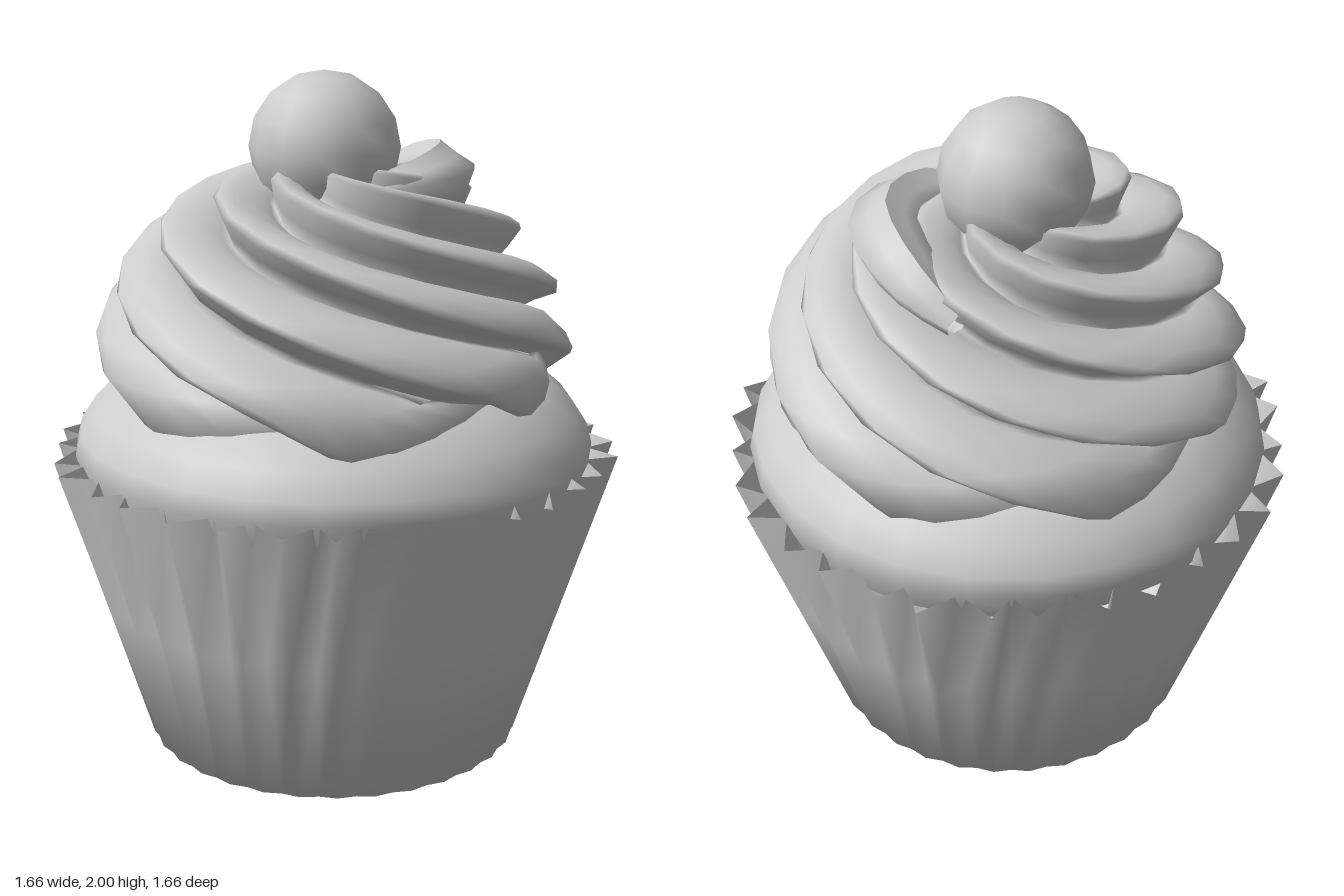
import * as THREE from 'three';

const material = new THREE.MeshStandardMaterial({ color: 0xcccccc, side: THREE.DoubleSide });

function addPart(group, name, geometry) {
  const mesh = new THREE.Mesh(geometry, material);
  mesh.name = name;
  group.add(mesh);
  return mesh;
}

// Closed-ring surface: point(i, j) gives a position for column i of row j, rows running top to bottom
function ringSurface(cols, rows, point) {
  const positions = [], index = [];
  for (let j = 0; j < rows; j++)
    for (let i = 0; i < cols; i++) positions.push(...point(i, j));
  for (let j = 0; j < rows - 1; j++)
    for (let i = 0; i < cols; i++) {
      const a = j * cols + i, b = j * cols + (i + 1) % cols;
      index.push(a, a + cols, b, b, a + cols, b + cols);
    }
  const geometry = new THREE.BufferGeometry();
  geometry.setAttribute('position', new THREE.Float32BufferAttribute(positions, 3));
  geometry.setIndex(index);
  geometry.computeVertexNormals();
  return geometry;
}

// Paper cup: pleats are deep at the rim and fade towards the base, which closes it
function wrapperGeometry() {
  const pleats = 32, walls = 3, height = 0.89;
  return ringSurface(pleats * 2, walls + 1, (i, j) => {
    const t = Math.max(0, 1 - j / (walls - 1));
    const outer = i % 2 === 0;
    const angle = (i / (pleats * 2)) * Math.PI * 2 + 0.025 * Math.sin(i * 1.7) * t;
    const wobble = 0.012 * Math.sin(i * 2.3) * t;
    let r = outer ? 0.56 + 0.275 * t + wobble : 0.55 + 0.205 * t;
    if (j === walls) r = 0.001;
    const y = height * t + (j === 0 && !outer ? 0.008 : 0);
    return [r * Math.sin(angle), y, r * Math.cos(angle)];
  });
}

// Piped frosting: overlapping strands that wind down from the tip
function frostingGeometry() {
  const strands = 7, twist = Math.PI * 1.6, rows = 17, turn = -0.26;
  // Across one strand, from its lower edge up to the next: [fraction of width, bulge]
  const section = [
    [0, 0.9], [0.1, 1], [0.3, 0.85], [0.5, 0.62], [0.68, 0.35], [0.82, 0.05], [0.92, -0.2], [0.96, 0.3],
  ];
  const profile = new THREE.CatmullRomCurve3([
    [0.03, 1.7], [0.2, 1.69], [0.38, 1.61], [0.53, 1.49], [0.61, 1.36],
    [0.645, 1.23], [0.64, 1.13], [0.5, 1.09],
  ].map(([r, y]) => new THREE.Vector3(r, y, 0)));
  return ringSurface(strands * section.length, rows, (i, j) => {
    const t = j / (rows - 1);
    const p = profile.getPointAt(t), d = profile.getTangentAt(t);
    const strand = Math.floor(i / section.length);
    const [across, bulge] = section[i % section.length];
    const swell = 0.12 * Math.min(1, 0.35 + t * 2) * (1 + 0.18 * Math.sin(strand * 2.1 + t * 9));
    const push = (bulge - 0.45) * swell;
    // Push along the outward normal of the profile
    const r = Math.max(0.01, p.x - d.y * push);
    const y = p.y + d.x * push + 0.02 * Math.sin(strand * 1.9) * t;
    const angle = ((strand + across) / strands) * Math.PI * 2 + twist * t + turn;
    return [r * Math.sin(angle), y, r * Math.cos(angle)];
  });
}

// Loose end of the piping: a ribbed strand tapering to a tip
function tailGeometry() {
  const path = new THREE.CatmullRomCurve3([
    [0.14, 1.66, 0.04], [0.23, 1.67, -0.1], [0.2, 1.67, -0.28], [0.04, 1.64, -0.39], [-0.16, 1.57, -0.42],
  ].map((p) => new THREE.Vector3(...p)));
  const segments = 10, sides = 10;
  const geometry = new THREE.TubeGeometry(path, segments, 1, sides, false);
  const position = geometry.attributes.position;
  const v = new THREE.Vector3();
  for (let k = 0; k < position.count; k++) {
    const ring = Math.floor(k / (sides + 1)), side = k % (sides + 1);
    const t = ring / segments;
    const size = 0.11 * Math.sin(Math.PI * (0.06 + 0.88 * t)) ** 0.6 * (side % 2 ? 0.78 : 1);
    const centre = path.getPointAt(t);
    v.fromBufferAttribute(position, k).sub(centre).multiplyScalar(size).add(centre);
    position.setXYZ(k, v.x, v.y, v.z);
  }
  geometry.computeVertexNormals();
  return geometry;
}

export function createModel() {
  const group = new THREE.Group();
  group.name = 'cupcake';

  addPart(group, 'wrapper', wrapperGeometry());

  // Sponge dome rising out of the cup
  const dome = [
    [0.73, 0.8], [0.77, 0.9], [0.755, 0.96], [0.71, 1.03], [0.63, 1.1], [0.5, 1.16], [0.25, 1.2], [0, 1.21],
  ].map(([r, y]) => new THREE.Vector2(r, y));
  addPart(group, 'cake', new THREE.LatheGeometry(dome, 24));

  addPart(group, 'frosting', frostingGeometry());
  addPart(group, 'frostingTail', tailGeometry());

  const cherry = addPart(group, 'cherry', new THREE.SphereGeometry(0.22, 12, 8));
  cherry.position.set(-0.03, 1.78, 0);

  return group;
}
